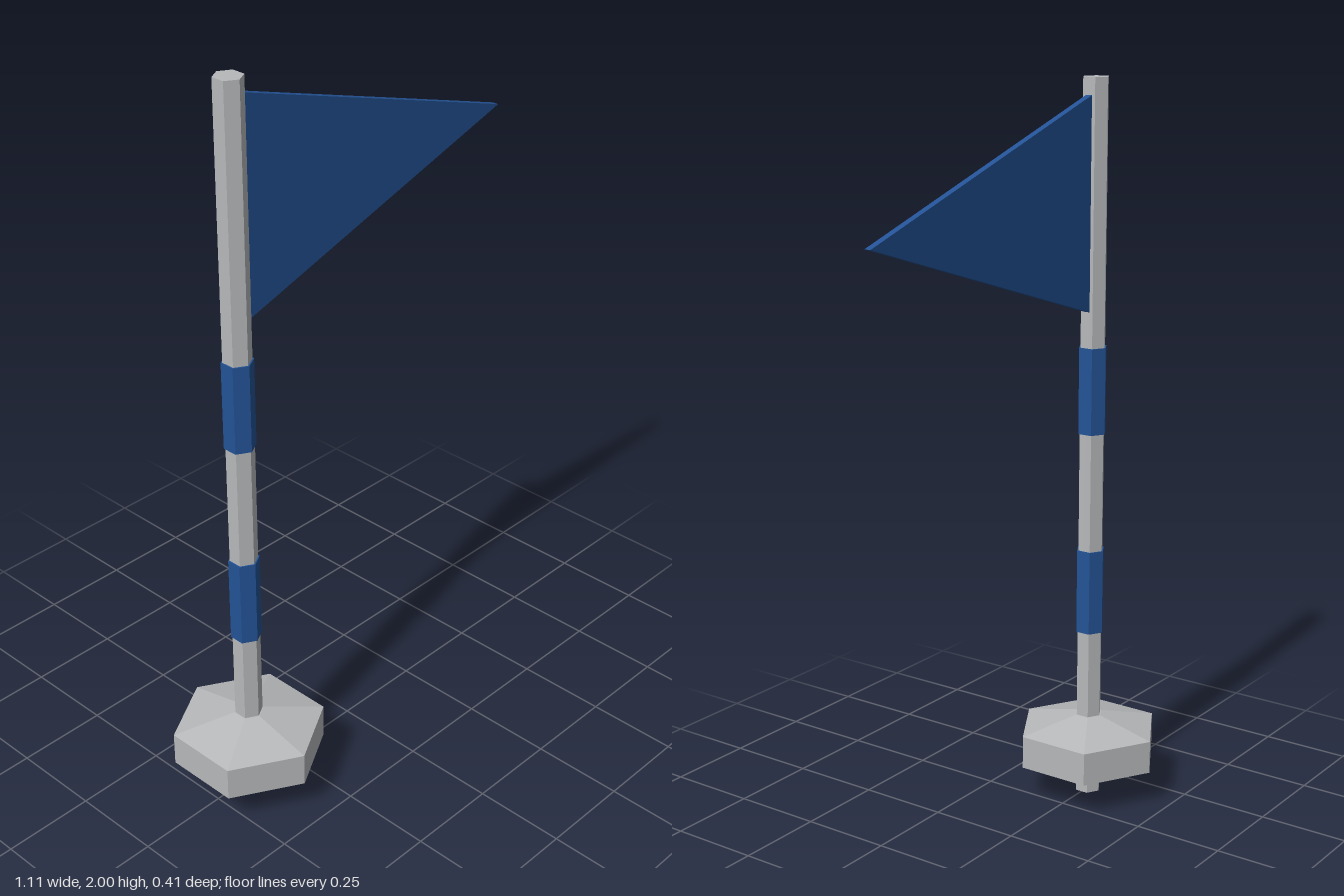
import * as THREE from 'three';

const POLE_X = -0.378;

export function createModel() {
  const group = new THREE.Group();
  const grey = new THREE.MeshStandardMaterial({ color: 0xb6b8ba, flatShading: true });
  grey.name = 'lightGrey';
  const blue = new THREE.MeshStandardMaterial({ color: 0x235396, flatShading: true });
  blue.name = 'blue';

  const add = (name, geometry, material, x, y, z = 0) => {
    const mesh = new THREE.Mesh(geometry, material);
    mesh.name = name;
    mesh.position.set(x, y, z);
    group.add(mesh);
  };

  // Hexagonal pole
  add('pole', new THREE.CylinderGeometry(0.037, 0.037, 2, 6), grey, POLE_X, 1);

  // Painted bands, slightly wider than the pole
  for (const [name, y] of [['lowerBand', 0.6], ['upperBand', 1.17]]) {
    add(name, new THREE.CylinderGeometry(0.041, 0.041, 0.238, 6), blue, POLE_X, y);
  }

  // Hexagonal float with bevelled top and bottom
  const profile = [[0.03, 0.06], [0.06, 0.06], [0.205, 0.1], [0.205, 0.193], [0.04, 0.232], [0.03, 0.232]]
    .map(([r, y]) => new THREE.Vector2(r, y));
  add('float', new THREE.LatheGeometry(profile, 6), grey, POLE_X, 0);

  // Triangular pennant
  const pennant = new THREE.Shape([
    new THREE.Vector2(-0.348, 1.387),
    new THREE.Vector2(0.555, 1.67),
    new THREE.Vector2(-0.348, 1.955),
  ]);
  add('pennant', new THREE.ExtrudeGeometry(pennant, { depth: 0.018, bevelEnabled: false }), blue, 0, 0, -0.009);

  return group;
}
